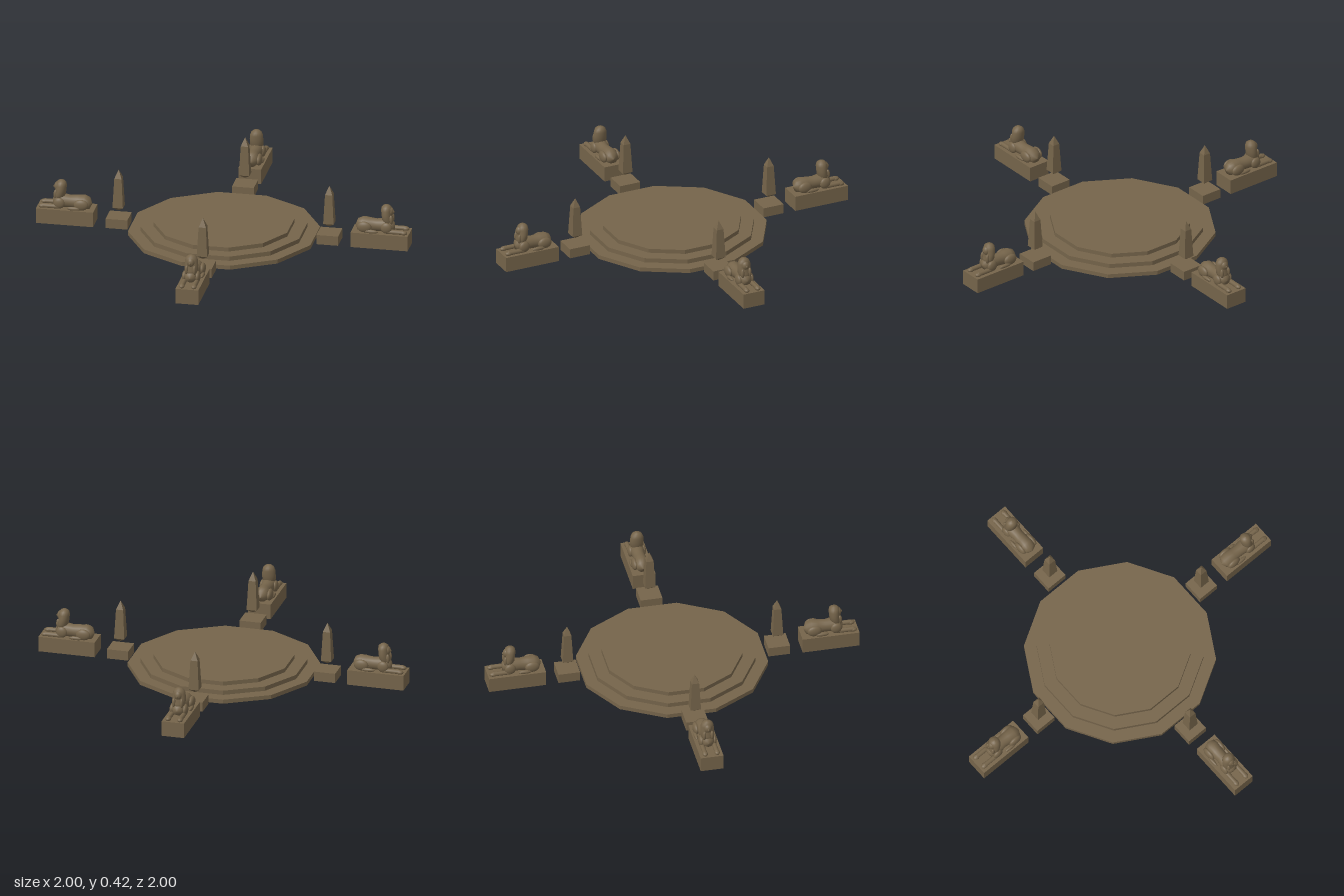
import * as THREE from 'three';

const stone = new THREE.MeshStandardMaterial({ color: 0x75644a, side: THREE.DoubleSide });
stone.name = 'brown stone';

function add(parent, name, geometry, x = 0, y = 0, z = 0) {
  const mesh = new THREE.Mesh(geometry, stone);
  mesh.name = name;
  mesh.position.set(x, y, z);
  parent.add(mesh);
  return mesh;
}

function flat(geometry) {
  const g = geometry.toNonIndexed();
  g.computeVertexNormals();
  return g;
}

// Box shell without its underside, standing on y = 0
function openBox(w, h, d) {
  const g = new THREE.BoxGeometry(w, h, d).translate(0, h / 2, 0);
  g.setIndex(Array.from(g.index.array).filter((_, i) => i < 18 || i >= 24));
  g.clearGroups();
  return g;
}

// Smooth loft through ellipses: rows are [position on axis, centre, half width, half depth]
function loft(rows, axis, sides = 18) {
  const pos = [], index = [];
  rows.forEach(([t, c, w, d], r) => {
    for (let i = 0; i < sides; i++) {
      const a = (i / sides) * Math.PI * 2;
      const u = w * Math.cos(a), v = c + d * Math.sin(a);
      if (axis === 'y') pos.push(u, t, v);
      else pos.push(u, v, t);
      if (r < rows.length - 1) {
        const p = r * sides + i, q = r * sides + (i + 1) % sides;
        index.push(p, p + sides, q, q, p + sides, q + sides);
      }
    }
  });
  const g = new THREE.BufferGeometry();
  g.setAttribute('position', new THREE.Float32BufferAttribute(pos, 3));
  g.setIndex(index);
  g.computeVertexNormals();
  return g;
}

function ellipsoid(parent, name, x, y, z, rx, ry, rz) {
  add(parent, name, new THREE.SphereGeometry(1, 18, 12), x, y, z).scale.set(rx, ry, rz);
}

function createSphinx() {
  const g = new THREE.Group();
  g.name = 'sphinx';
  add(g, 'sphinxPlinth', openBox(0.164, 0.11, 0.41));

  // Reclining body, from chest to rump
  add(g, 'body', loft([
    [0.1, 0.15, 0, 0], [0.093, 0.15, 0.03, 0.03], [0.07, 0.155, 0.048, 0.045],
    [0.03, 0.157, 0.052, 0.05], [-0.03, 0.152, 0.042, 0.045], [-0.08, 0.152, 0.046, 0.05],
    [-0.13, 0.153, 0.053, 0.053], [-0.165, 0.148, 0.042, 0.042], [-0.184, 0.145, 0, 0],
  ], 'z'));

  // Head cloth flaring over the shoulders
  add(g, 'headdress', loft([
    [0.16, 0.055, 0, 0], [0.165, 0.055, 0.034, 0.032], [0.2, 0.047, 0.049, 0.04],
    [0.235, 0.04, 0.049, 0.037], [0.27, 0.038, 0.046, 0.039], [0.293, 0.038, 0.037, 0.035],
    [0.306, 0.038, 0.02, 0.02], [0.31, 0.038, 0, 0],
  ], 'y'));
  ellipsoid(g, 'face', 0, 0.26, 0.06, 0.029, 0.035, 0.03);
  ellipsoid(g, 'nose', 0, 0.258, 0.089, 0.006, 0.01, 0.006);

  for (const s of [-1, 1]) {
    ellipsoid(g, 'lappet', s * 0.028, 0.205, 0.075, 0.013, 0.035, 0.015);
    ellipsoid(g, 'shoulder', s * 0.046, 0.148, 0.045, 0.02, 0.04, 0.04);
    ellipsoid(g, 'haunch', s * 0.05, 0.147, -0.112, 0.022, 0.04, 0.052);
    ellipsoid(g, 'hindFoot', s * 0.061, 0.12, -0.06, 0.013, 0.014, 0.048);
    // Forelegs stretched along the plinth, ending in rounded paws
    add(g, 'foreleg', new THREE.CapsuleGeometry(0.017, 0.12, 4, 12).rotateX(Math.PI / 2), s * 0.043, 0.122, 0.105);
    ellipsoid(g, 'paw', s * 0.043, 0.12, 0.168, 0.02, 0.016, 0.026);
  }
  return g;
}

function createObelisk() {
  const g = new THREE.Group();
  g.name = 'obelisk';
  add(g, 'obeliskBase', openBox(0.156, 0.07, 0.156));
  // Tapered four-sided shaft with pointed cap and pointed foot, set above the base
  const profile = [[0, 0.11], [0.053, 0.14], [0.037, 0.357], [0, 0.42]].map(p => new THREE.Vector2(...p));
  const shaft = flat(new THREE.LatheGeometry(profile, 4));
  add(g, 'obeliskShaft', shaft).rotation.y = Math.PI / 4;
  return g;
}

export function createModel() {
  const model = new THREE.Group();
  model.name = 'monument';

  // Three-stepped twelve-sided platform, hollow underneath
  const steps = [
    [0.677, 0], [0.677, 0.03], [0.588, 0.03], [0.588, 0.062],
    [0.495, 0.062], [0.495, 0.092], [0, 0.092],
  ].map(p => new THREE.Vector2(...p));
  add(model, 'steppedPlatform', flat(new THREE.LatheGeometry(steps, 12)));

  // An obelisk and an outward-facing sphinx on each diagonal
  for (let k = 0; k < 4; k++) {
    const arm = new THREE.Group();
    arm.name = 'diagonalArm';
    arm.rotation.y = Math.PI / 4 + k * Math.PI / 2;
    const obelisk = createObelisk();
    obelisk.position.z = 0.755;
    const sphinx = createSphinx();
    sphinx.position.z = 1.127;
    arm.add(obelisk, sphinx);
    model.add(arm);
  }
  return model;
}
